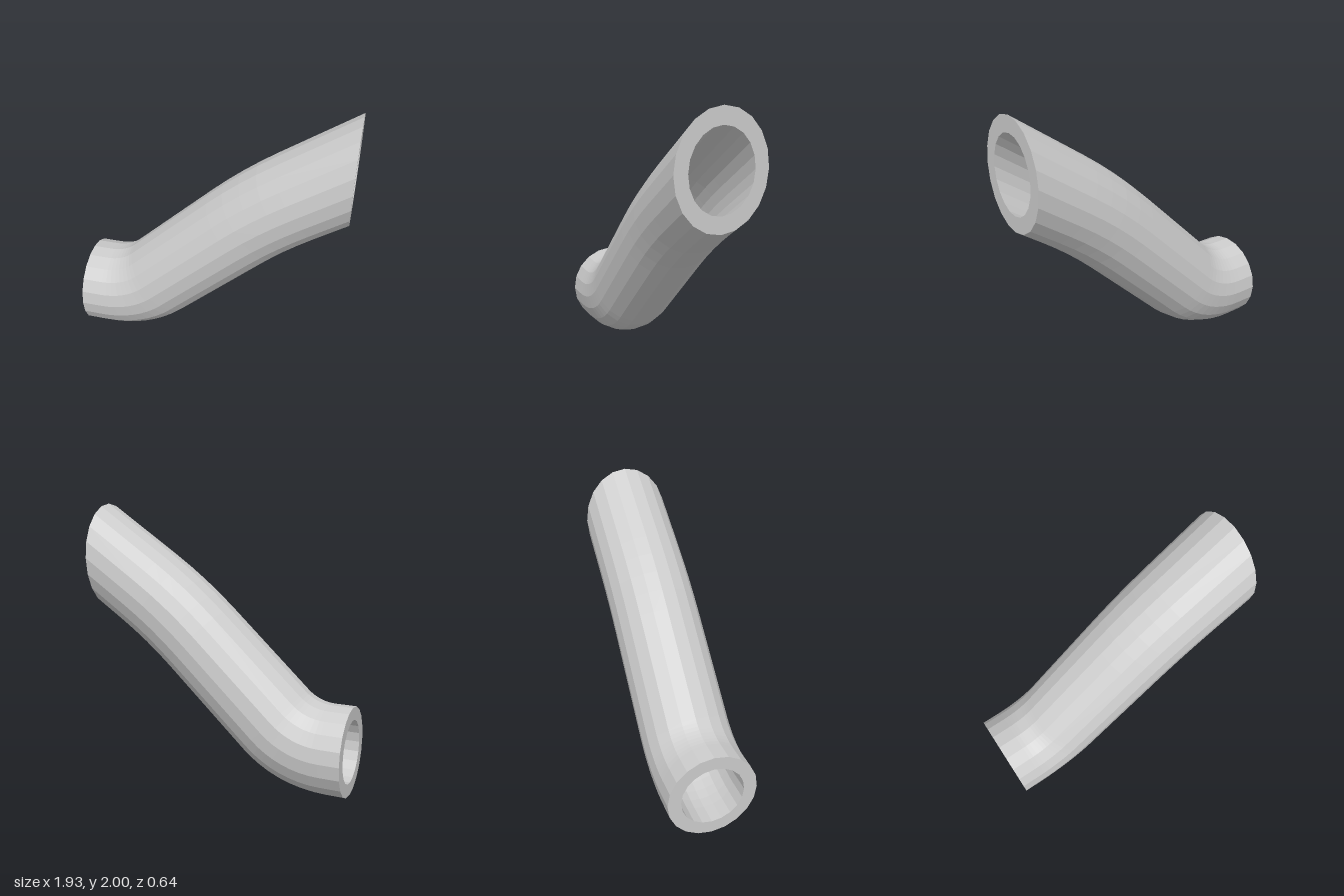
import * as THREE from 'three';

const SIDES = 20, RADIUS = 0.32, BORE = 0.705;

// One cross-section: centre, tilt of the pipe in degrees, half height across the cut
const section = (x, y, deg, half = RADIUS) => ({ x, y, a: THREE.MathUtils.degToRad(deg), half });

// Sections along a circular bend, starting at (x, y); negative radius bends downwards
function bend(x, y, radius, from, to, steps) {
  const list = [], a0 = THREE.MathUtils.degToRad(from);
  for (let i = 0; i <= steps; i++) {
    const deg = from + (to - from) * i / steps, a = THREE.MathUtils.degToRad(deg);
    list.push(section(
      x + radius * (Math.sin(a) - Math.sin(a0)),
      y + radius * (Math.cos(a0) - Math.cos(a)), deg));
  }
  return list;
}

// Points around a section, scaled for the outside or the bore
function ring(s, scale) {
  const points = [];
  for (let j = 0; j < SIDES; j++) {
    const t = j / SIDES * Math.PI * 2;
    const up = Math.cos(t) * s.half * scale;
    points.push(s.x - Math.sin(s.a) * up, s.y + Math.cos(s.a) * up, Math.sin(t) * RADIUS * scale);
  }
  return points;
}

function pipeGeometry(sections) {
  // Out along the outer wall, back through the bore; joining them makes the rims
  const rings = [
    ...sections.map(s => ring(s, 1)),
    ...sections.slice().reverse().map(s => ring(s, BORE)),
  ];
  const index = [];
  for (let i = 0; i < rings.length; i++) {
    const next = (i + 1) % rings.length;
    for (let j = 0; j < SIDES; j++) {
      const k = (j + 1) % SIDES;
      const a = i * SIDES + j, b = next * SIDES + j, c = next * SIDES + k, d = i * SIDES + k;
      index.push(a, d, c, a, c, b);
    }
  }
  const indexed = new THREE.BufferGeometry();
  indexed.setAttribute('position', new THREE.Float32BufferAttribute(rings.flat(), 3));
  indexed.setIndex(index);
  const geometry = indexed.toNonIndexed();
  geometry.computeVertexNormals();
  return geometry;
}

export function createModel() {
  const group = new THREE.Group();
  group.name = 'bentPipe';

  const sections = [
    section(-0.967, 0.32, 0),                 // lower mouth
    ...bend(-0.82, 0.32, 0.6, 0, 43, 8),      // tight elbow
    ...bend(0.178, 1.033, -3.5, 43, 34, 4),   // gentle upper bend
    section(0.965, 1.615, 0, 0.385),          // upper mouth, cut upright
  ];

  const pipe = new THREE.Mesh(
    pipeGeometry(sections),
    new THREE.MeshStandardMaterial({ color: 0xcccccc, flatShading: true }));
  pipe.name = 'pipe';
  group.add(pipe);
  return group;
}
